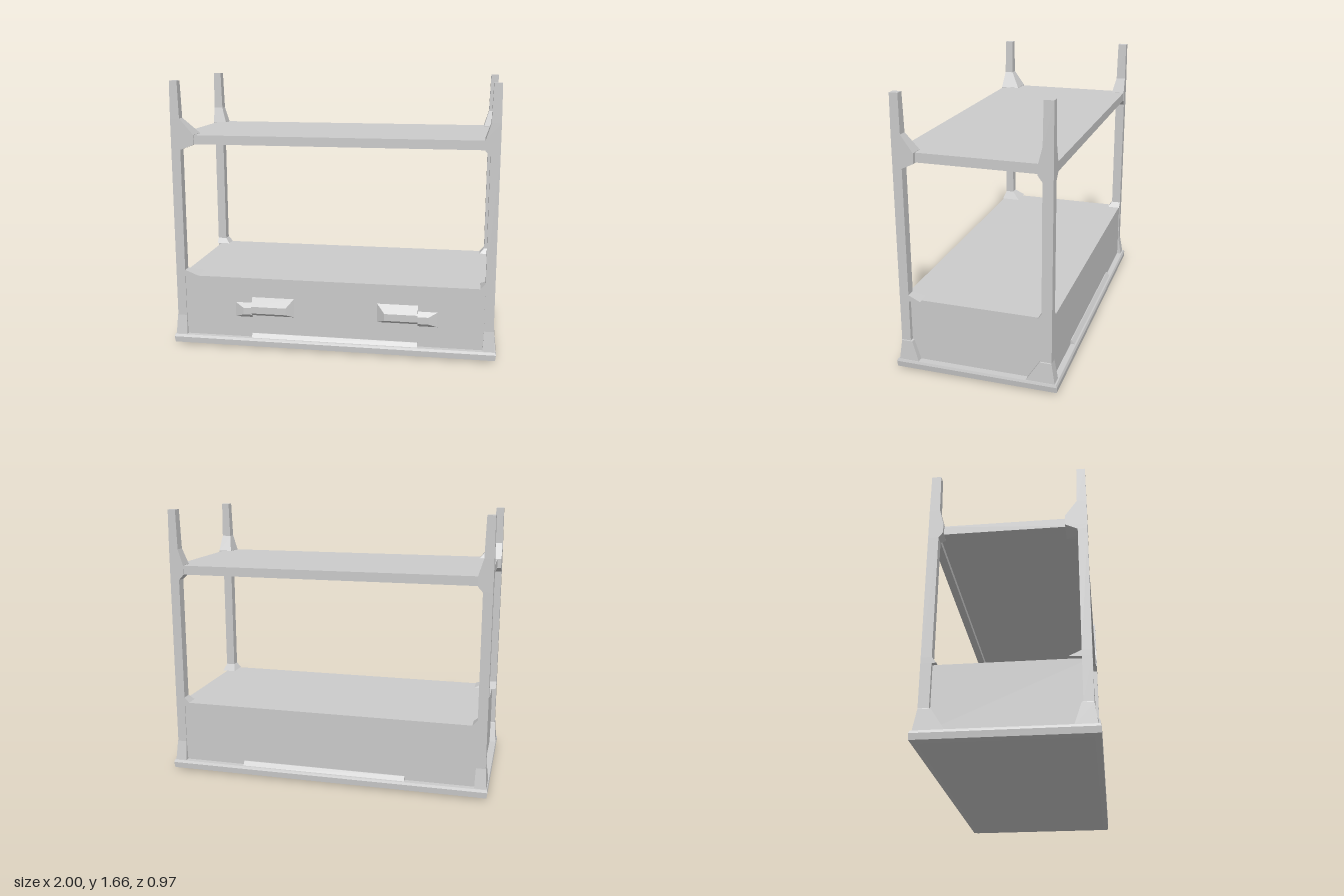
import * as THREE from 'three';

const material = new THREE.MeshStandardMaterial({ color: 0xcccccc, flatShading: true });

// Solid through stacked rectangles: each section is [y, x0, x1, z0, z1], bottom to top
function loft(name, sections) {
  const pos = [], idx = [];
  for (const [y, x0, x1, z0, z1] of sections) pos.push(x0, y, z1, x1, y, z1, x1, y, z0, x0, y, z0);
  const quad = (a, b, c, d) => idx.push(a, b, c, a, c, d);
  for (let s = 0; s < sections.length - 1; s++) {
    for (let i = 0; i < 4; i++) {
      const a = s * 4 + i, b = s * 4 + (i + 1) % 4;
      quad(a, b, b + 4, a + 4);
    }
  }
  const t = pos.length / 3 - 4;
  quad(3, 2, 1, 0);
  quad(t, t + 1, t + 2, t + 3);
  const indexed = new THREE.BufferGeometry();
  indexed.setAttribute('position', new THREE.Float32BufferAttribute(pos, 3));
  indexed.setIndex(idx);
  const geo = indexed.toNonIndexed();
  geo.computeVertexNormals();
  const mesh = new THREE.Mesh(geo, material);
  mesh.name = name;
  return mesh;
}

function box(name, x0, x1, y0, y1, z0, z1) {
  const mesh = new THREE.Mesh(new THREE.BoxGeometry(x1 - x0, y1 - y0, z1 - z0), material);
  mesh.position.set((x0 + x1) / 2, (y0 + y1) / 2, (z0 + z1) / 2);
  mesh.name = name;
  return mesh;
}

// Corner post with a flared foot and bracket flares at the cabinet top and the shelf
function post(name, sx, sz, top, wideX, wideZ, footZ) {
  const rect = (y, xo, xi, zo, zi) => {
    const x = [sx * xo, sx * xi].sort((a, b) => a - b);
    const z = [sz * zo, sz * zi].sort((a, b) => a - b);
    return [y, x[0], x[1], z[0], z[1]];
  };
  const zo = sz > 0 ? 0.455 : 0.45, zi = sz > 0 ? 0.4 : 0.39;
  const plain = y => rect(y, 0.982, 0.925, zo, zi);
  const wide = y => rect(y, 0.982, wideX, zo, wideZ);
  return loft(name, [
    rect(0.055, 0.992, 0.92, 0.472, footZ),
    rect(0.18, 0.984, 0.925, zo, zi - 0.01),
    plain(0.185), plain(0.438), wide(0.442), plain(0.475),
    plain(1.23), wide(1.263), wide(1.322), plain(1.42),
    rect(top, 0.98, 0.932, zo - 0.002, zi + 0.003),
  ]);
}

// Drawer pull: a bevelled wedge standing out from the front face
function wedge(name, x0, x1, y0, y1, in0, in1, depth) {
  const mesh = loft(name, [
    [0, x0, x1, -y1, -y0],
    [depth, x0 + in0, x1 - in1, -(y0 + 0.065), -(y0 + 0.022)],
  ]);
  mesh.rotation.x = Math.PI / 2;
  mesh.scale.z = 1;
  mesh.position.z = 0.448;
  // the lofted plan is turned upright, so its z becomes -y
  return mesh;
}

export function createModel() {
  const model = new THREE.Group();

  // Plinth
  model.add(loft('plinth', [
    [0, -0.96, 0.96, -0.45, 0.45],
    [0.01, -0.995, 0.995, -0.485, 0.485],
    [0.045, -1, 1, -0.487, 0.487],
    [0.06, -0.996, 0.996, -0.48, 0.48],
  ]));

  // Cabinet body and the sloping skirting at its foot
  model.add(box('cabinet', -0.955, 0.955, 0.05, 0.44, -0.445, 0.45));
  model.add(loft('skirtingFront', [
    [0.055, -0.5, 0.53, 0.4, 0.474],
    [0.085, -0.5, 0.53, 0.4, 0.453],
  ]));
  model.add(loft('skirtingBack', [
    [0.055, -0.5, 0.53, -0.474, -0.4],
    [0.085, -0.5, 0.53, -0.45, -0.4],
  ]));

  // Shelf: rim frame with a thin panel, open below
  const outline = new THREE.Shape([[-0.957, -0.447], [0.957, -0.447], [0.957, 0.447], [-0.957, 0.447]]
    .map(p => new THREE.Vector2(...p)));
  outline.holes.push(new THREE.Path([[-0.91, -0.4], [-0.91, 0.4], [0.91, 0.4], [0.91, -0.4]]
    .map(p => new THREE.Vector2(...p))));
  const rim = new THREE.Mesh(
    new THREE.ExtrudeGeometry(outline, { depth: 0.055, bevelEnabled: false }), material);
  rim.rotation.x = -Math.PI / 2;
  rim.position.y = 1.265;
  rim.name = 'shelfRim';
  model.add(rim, box('shelfPanel', -0.92, 0.92, 1.295, 1.32, -0.41, 0.41));

  // Posts
  model.add(
    post('frontRightPost', -1, 1, 1.645, 0.84, 0.33, 0.35),
    post('frontLeftPost', 1, 1, 1.645, 0.895, 0.33, 0.35),
    post('backRightPost', -1, -1, 1.66, 0.895, 0.365, 0.3),
    post('backLeftPost', 1, -1, 1.66, 0.895, 0.365, 0.3),
  );

  // Drawer pulls, each a tall inner part and a low outer tip
  model.add(
    wedge('rightPull', -0.497, -0.23, 0.2, 0.322, 0, 0.05, 0.032),
    wedge('rightPullTip', -0.61, -0.497, 0.187, 0.285, 0.06, 0, 0.02),
    wedge('leftPull', 0.28, 0.53, 0.2, 0.322, 0.05, 0, 0.032),
    wedge('leftPullTip', 0.53, 0.655, 0.187, 0.285, 0, 0.06, 0.02),
  );
  return model;
}
